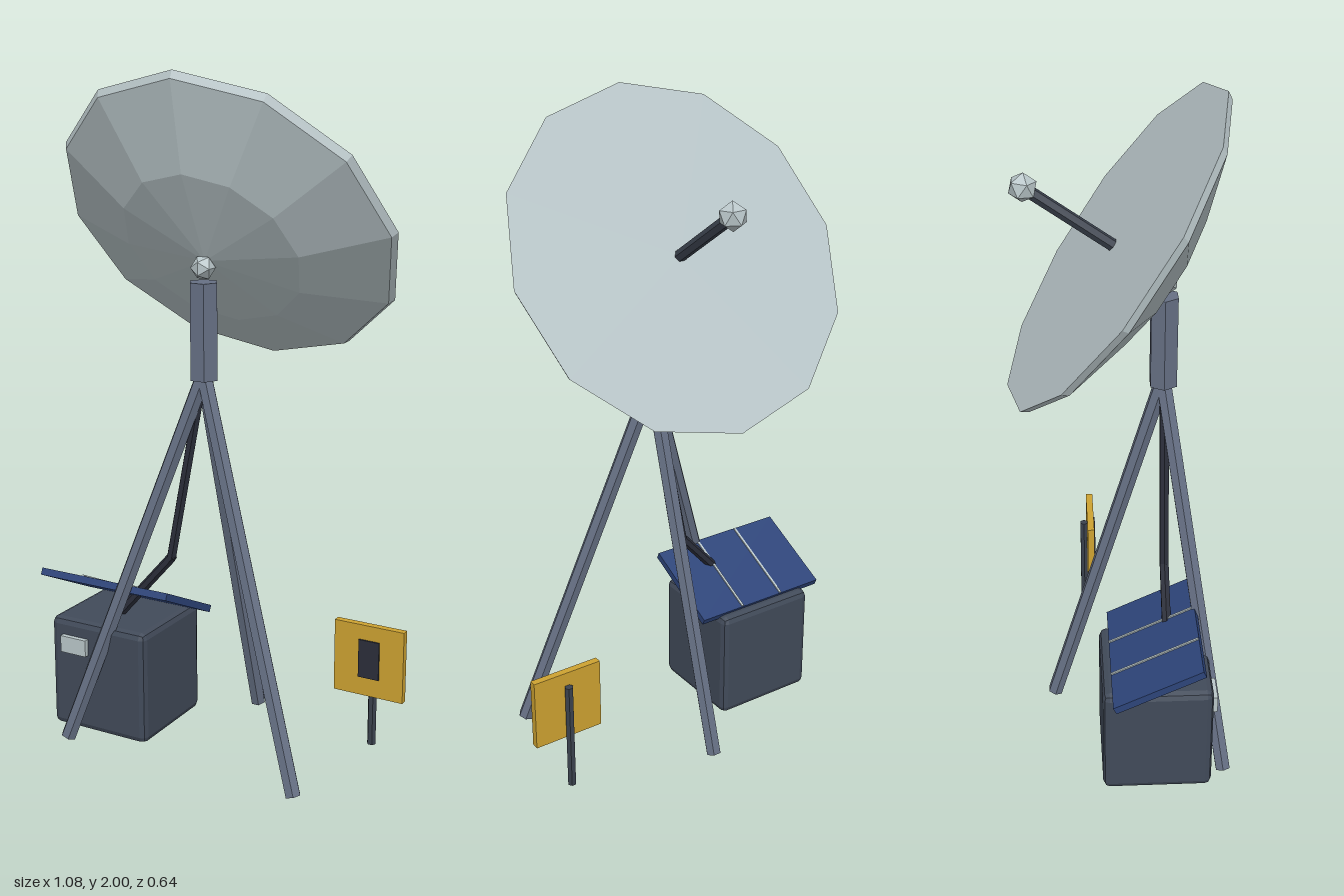
import * as THREE from 'three';
import { RoundedBoxGeometry } from 'three/addons/geometries/RoundedBoxGeometry.js';

const paint = (name, color) => {
  const m = new THREE.MeshStandardMaterial({ color });
  m.name = name;
  return m;
};

// Faceted normals
const flat = (geometry) => {
  const g = geometry.index ? geometry.toNonIndexed() : geometry;
  g.computeVertexNormals();
  return g;
};

export function createModel() {
  const model = new THREE.Group();
  model.name = 'satelliteStation';

  const pale = paint('paleGrey', 0xb9c6c9);
  const steel = paint('steel', 0x667084);
  const caseGrey = paint('caseGrey', 0x414a59);
  const dark = paint('darkMetal', 0x2b2e3a);
  const blue = paint('solarBlue', 0x2d4479);
  const yellow = paint('signYellow', 0xcda231);
  const strutGrey = paint('strutGrey', 0x3b424e);

  const add = (name, geometry, material, x = 0, y = 0, z = 0, parent = model) => {
    const mesh = new THREE.Mesh(flat(geometry), material);
    mesh.name = name;
    mesh.position.set(x, y, z);
    parent.add(mesh);
    return mesh;
  };
  const box = (name, size, material, pos, parent) =>
    add(name, new THREE.BoxGeometry(...size), material, ...pos, parent);

  // Six-sided rod between two points
  const rod = (name, from, to, radius, material) => {
    const a = new THREE.Vector3(...from), b = new THREE.Vector3(...to);
    const dir = b.clone().sub(a);
    const g = new THREE.CylinderGeometry(radius, radius, dir.length(), 6).rotateY(Math.PI / 6);
    const mid = a.add(b).multiplyScalar(0.5);
    const mesh = add(name, g, material, mid.x, mid.y, mid.z);
    mesh.quaternion.setFromUnitVectors(new THREE.Vector3(0, 1, 0), dir.normalize());
    return mesh;
  };

  const cx = -0.017, mastZ = 0.127;

  // Tripod and mast
  for (const [name, x, z] of [['rightLeg', cx - 0.385, 0.297], ['leftLeg', cx + 0.385, 0.297], ['backLeg', cx, -0.207]]) {
    rod(name, [x, 0.008, z], [cx, 1.15, mastZ], 0.024, steel);
  }
  rod('mast', [cx, 1.135, mastZ], [cx, 1.415, mastZ], 0.044, steel);
  add('pivotBall', new THREE.IcosahedronGeometry(0.036, 0), pale, cx, 1.455, 0.13);

  // Dish with a closed face, tilted up and backwards
  const dish = new THREE.Group();
  dish.name = 'dishAssembly';
  dish.position.set(cx, 1.571, -0.018);
  dish.rotation.x = -0.953;
  model.add(dish);
  const profile = [[0, -0.17], [0.276, -0.126], [0.513, -0.022], [0.525, 0], [0, 0]];
  add('dish', new THREE.LatheGeometry(profile.map((p) => new THREE.Vector2(...p)), 12), pale, 0, 0, 0, dish);
  add('feedStrut', new THREE.CylinderGeometry(0.018, 0.018, 0.29, 6).rotateY(Math.PI / 6), strutGrey, 0, 0.145, 0, dish);
  add('feedHorn', new THREE.IcosahedronGeometry(0.042, 0), pale, 0, 0.297, 0, dish);

  // Cable from mast to equipment case
  const bend = [-0.13, 0.58, 0.13];
  rod('upperCable', [cx, 1.16, 0.13], bend, 0.015, dark);
  rod('lowerCable', bend, [-0.32, 0.365, 0.13], 0.015, dark);
  add('cableJoint', new THREE.IcosahedronGeometry(0.016, 0), dark, ...bend);

  // Equipment case and its display
  add('equipmentCase', new RoundedBoxGeometry(0.334, 0.352, 0.323, 1, 0.02), caseGrey, -0.32, 0.192, 0.0925);
  box('display', [0.09, 0.052, 0.018], pale, [-0.398, 0.291, 0.26]);

  // Sloping solar panel with cell dividers
  const panel = new THREE.Group();
  panel.name = 'solarPanel';
  panel.position.set(-0.32, 0.428, 0.09);
  panel.rotation.x = -0.45;
  model.add(panel);
  box('panelBoard', [0.45, 0.022, 0.283], blue, [0, 0, 0], panel);
  for (const x of [-0.075, 0.075]) {
    box('panelDivider', [0.007, 0.006, 0.28], pale, [x, 0.012, 0], panel);
  }

  // Warning sign on a post
  rod('signPost', [0.43, 0.015, -0.098], [0.43, 0.36, -0.098], 0.0135, strutGrey);
  box('signBoard', [0.222, 0.222, 0.022], yellow, [0.428, 0.292, -0.077]);
  box('signMark', [0.066, 0.118, 0.006], dark, [0.43, 0.298, -0.064]);

  return model;
}
